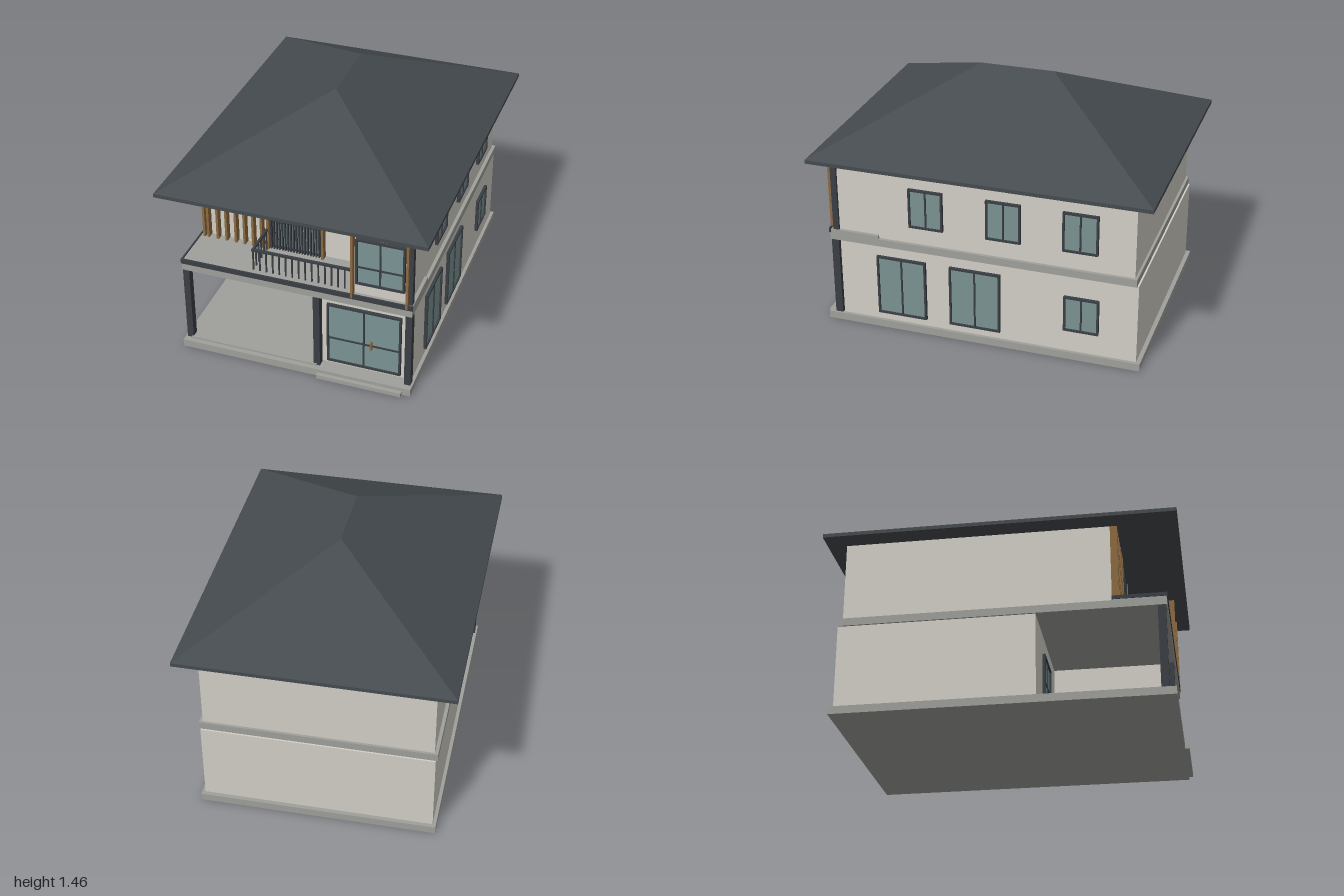
import * as THREE from 'three';

const paint = (name, color) => {
  const m = new THREE.MeshStandardMaterial({ color });
  m.name = name;
  return m;
};

export function createModel() {
  const wall = paint('wall plaster', 0xd2cfc7);
  const concrete = paint('concrete', 0x9fa09b);
  const roofing = paint('roof slate', 0x454b4f);
  const dark = paint('dark metal', 0x3a3f44);
  const glass = paint('glass', 0x7b9393);
  const wood = paint('wood', 0x8c6a42);

  const house = new THREE.Group();
  house.name = 'house';

  // Box given by its limits on each axis
  const box = (name, mat, x0, x1, y0, y1, z0, z1, parent = house) => {
    const mesh = new THREE.Mesh(new THREE.BoxGeometry(x1 - x0, y1 - y0, z1 - z0), mat);
    mesh.position.set((x0 + x1) / 2, (y0 + y1) / 2, (z0 + z1) / 2);
    mesh.name = name;
    parent.add(mesh);
    return mesh;
  };

  // Framed window in its own plane, facing +z; bars are at local positions
  const windowUnit = (name, w, h, barsX, barsY) => {
    const g = new THREE.Group();
    g.name = name;
    const t = 0.012, d = 0.016, a = w / 2, b = h / 2;
    box('glass', glass, -a + t, a - t, -b + t, b - t, 0, 0.006, g);
    for (const s of [-1, 1]) {
      const x = s * (a - t / 2), y = s * (b - t / 2);
      box('frameSide', dark, x - t / 2, x + t / 2, -b, b, -0.005, d, g);
      box('frameRail', dark, -a + t, a - t, y - t / 2, y + t / 2, -0.005, d, g);
    }
    for (const x of barsX) box('mullion', dark, x - 0.005, x + 0.005, -b + t, b - t, 0, 0.012, g);
    for (const y of barsY) box('crossbar', dark, -a + t, a - t, y - 0.005, y + 0.005, 0, 0.011, g);
    house.add(g);
    return g;
  };

  // Plinth, entrance step and porch floor
  box('plinth', concrete, -0.69, 0.69, 0, 0.045, -0.94, 0.95);
  box('entranceStep', concrete, 0.14, 0.64, 0, 0.025, 0.95, 0.975);
  box('porchFloor', concrete, -0.65, 0.125, 0.045, 0.055, 0.2, 0.92);

  // Ground floor walls, with an open porch at the front corner
  box('groundWalls', wall, -0.67, 0.67, 0.045, 0.53, -0.915, 0.2);
  box('entranceRoomWalls', wall, 0.125, 0.67, 0.045, 0.53, 0.2, 0.86);
  for (const x of [-0.66, 0.123, 0.66])
    box('frontPost', dark, x - 0.019, x + 0.019, 0.045, 0.53, 0.868, 0.912);

  // Floor slab and balcony
  box('floorSlab', concrete, -0.68, 0.68, 0.53, 0.575, -0.905, 0.92);
  box('balconyFloor', concrete, -0.68, 0.68, 0.575, 0.595, 0.62, 0.918);
  box('balconyFascia', dark, -0.683, 0.683, 0.574, 0.604, 0.914, 0.924);
  box('balconyEdge', dark, -0.683, -0.675, 0.58, 0.602, 0.62, 0.914);

  // Upper floor walls, set back behind the balcony
  box('upperWalls', wall, -0.66, 0.66, 0.575, 1.05, -0.89, 0.62);
  box('upperRoomWalls', wall, 0.33, 0.66, 0.595, 1.05, 0.62, 0.885);
  box('upperCornerPost', dark, 0.642, 0.675, 0.595, 1.045, 0.865, 0.9);

  // Wooden trims beside the upper room
  for (const x of [0.333, 0.648])
    box('roomTrim', wood, x - 0.007, x + 0.007, 0.58, 1.045, 0.885, 0.925);

  // Wooden fins and trims on the balcony wall
  for (const x of [-0.653, -0.628, -0.57, -0.515, -0.457, -0.403, -0.35, -0.298, -0.258, 0.07])
    box('woodFin', wood, x - 0.007, x + 0.007, 0.595, 1.045, 0.618, 0.66);

  // Balcony door behind a slatted screen
  const door = windowUnit('balconyDoor', 0.305, 0.445, [0], [-0.045]);
  door.position.set(-0.096, 0.82, 0.622);
  for (let i = 0; i < 18; i++) {
    const x = -0.24 + i * 0.017;
    box('screenSlat', dark, x - 0.004, x + 0.004, 0.6, 1.04, 0.64, 0.655);
  }

  // Balcony railing with a side return
  box('handrail', dark, -0.268, 0.325, 0.722, 0.734, 0.862, 0.878);
  box('sideHandrail', dark, -0.268, -0.254, 0.722, 0.734, 0.66, 0.862);
  for (let i = 0; i < 16; i++) {
    const x = -0.261 + i * 0.0385;
    box('baluster', dark, x - 0.004, x + 0.004, 0.595, 0.722, 0.866, 0.874);
  }
  for (let i = 0; i < 5; i++) {
    const z = 0.675 + i * 0.0385;
    box('sideBaluster', dark, -0.265, -0.257, 0.595, 0.722, z - 0.004, z + 0.004);
  }

  // Front windows and entrance door
  windowUnit('porchWindow', 0.256, 0.242, [0], [-0.035]).position.set(-0.277, 0.285, 0.202);
  windowUnit('upperFrontWindow', 0.28, 0.295, [0], [-0.035]).position.set(0.489, 0.813, 0.888);
  const entrance = windowUnit('entranceDoor', 0.436, 0.4, [0], [-0.035]);
  entrance.position.set(0.39, 0.266, 0.862);
  box('doorHandle', wood, 0.431, 0.441, 0.212, 0.265, 0.87, 0.888);

  // Windows on the left side: wall x, z, y, width, height
  for (const [x, z, y, w, h] of [
    [0.672, 0.482, 0.28, 0.3, 0.375], [0.672, 0.037, 0.28, 0.305, 0.375],
    [0.672, -0.593, 0.292, 0.205, 0.22],
    [0.662, 0.327, 0.802, 0.205, 0.242], [0.662, -0.133, 0.802, 0.205, 0.242],
    [0.662, -0.578, 0.802, 0.205, 0.242],
  ]) {
    const unit = windowUnit('sideWindow', w, h, [0], []);
    unit.position.set(x, y, z);
    unit.rotation.y = Math.PI / 2;
  }

  // Hipped roof: a box whose top is drawn in to a ridge
  box('eaves', roofing, -0.78, 0.78, 1.045, 1.067, -1, 1);
  const hip = new THREE.BoxGeometry(1.56, 0.388, 2).toNonIndexed();
  const p = hip.attributes.position;
  for (let i = 0; i < p.count; i++)
    if (p.getY(i) > 0) p.setXYZ(i, 0, p.getY(i), Math.sign(p.getZ(i)) * 0.22);
  hip.computeVertexNormals();
  const roof = new THREE.Mesh(hip, roofing);
  roof.position.y = 1.261;
  roof.name = 'hippedRoof';
  house.add(roof);

  return house;
}
